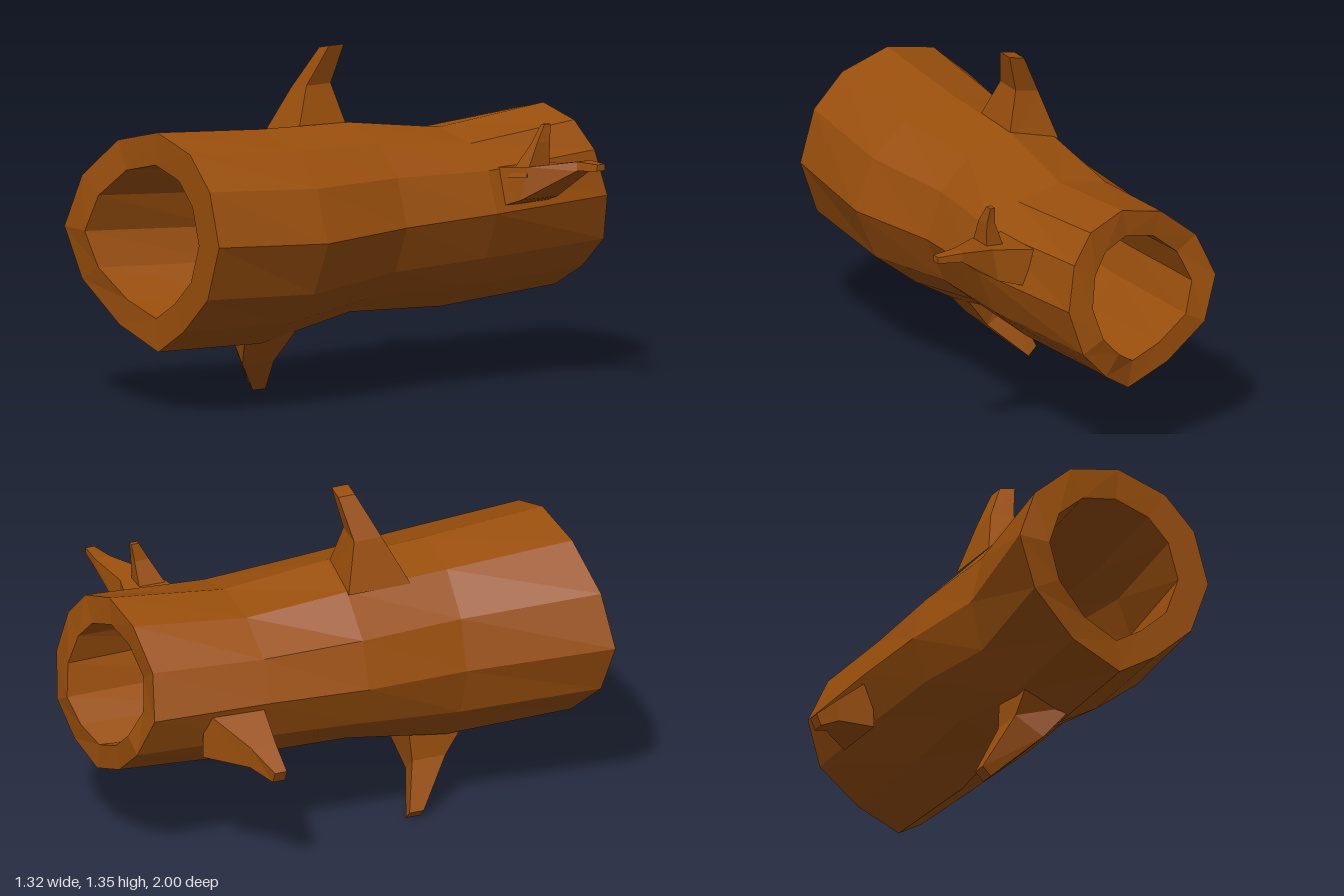
import * as THREE from 'three';

const bark = new THREE.MeshStandardMaterial({ color: 0x9a4f0c, flatShading: true });

// Skin a list of point loops with flat quads; optionally close end to start, or cap the last loop.
function skin(name, loops, { closed = false, cap = false } = {}) {
  const pos = [];
  const quad = (a, b, c, d) => pos.push(...a, ...b, ...c, ...a, ...c, ...d);
  const n = loops[0].length;
  const last = closed ? loops.length : loops.length - 1;
  for (let i = 0; i < last; i++) {
    const p = loops[i], q = loops[(i + 1) % loops.length];
    for (let j = 0; j < n; j++) {
      const k = (j + 1) % n;
      quad(p[j], p[k], q[k], q[j]);
    }
  }
  if (cap) quad(...loops[loops.length - 1]);
  const geo = new THREE.BufferGeometry();
  geo.setAttribute('position', new THREE.Float32BufferAttribute(pos, 3));
  geo.computeVertexNormals();
  const mesh = new THREE.Mesh(geo, bark);
  mesh.name = name;
  return mesh;
}

// Irregular twelve-sided cross-section, clockwise from the top
const section = [
  [0.1, 1], [0.57, 0.86], [0.86, 0.56], [1, 0.07], [0.83, -0.43], [0.47, -0.77],
  [0.11, -1], [-0.39, -0.81], [-0.82, -0.44], [-1, 0.02], [-0.82, 0.5], [-0.41, 0.87],
];

// Slanted cuts at the two ends: z for each corner of the section
const frontCut = [0.91, 0.905, 0.905, 0.905, 0.905, 0.905, 0.91, 0.935, 0.975, 1, 0.975, 0.935];
const backCut = [-0.89, -0.92, -0.95, -0.98, -1, -0.98, -0.94, -0.93, -0.93, -0.89, -0.865, -0.875];

// Trunk rings: left, right, bottom, top extents, sideways and upward bulge of the corners, z
const rings = [
  [-0.55, 0.32, 0.24, 1.09, 0, 0, frontCut],
  [-0.45, 0.365, 0.225, 1.055, -0.17, 0, Array(12).fill(0.42)],
  [-0.475, 0.3, 0.305, 1.04, -0.07, -0.05, Array(12).fill(0)],
  [-0.465, 0.325, 0.29, 0.985, -0.04, 0.1, Array(12).fill(-0.41)],
  [-0.45, 0.26, 0.325, 1.035, 0.08, 0, backCut],
];

function ringLoop([x0, x1, y0, y1, du, dv, z], scale) {
  return section.map(([u, v], i) => [
    (x0 + x1) / 2 + (u + du * (1 - u * u)) * scale * (x1 - x0) / 2,
    (y0 + y1) / 2 + (v + dv * (1 - v * v)) * scale * (y1 - y0) / 2,
    z[i],
  ]);
}

// Four-sided branches: corner loops from the base to the tip
const branches = {
  topBranch: [
    [[-0.285, 0.98, 0.26], [-0.06, 0.98, 0.26], [-0.06, 0.98, 0], [-0.285, 0.98, 0]],
    [[-0.225, 1.17, 0.165], [-0.125, 1.19, 0.165], [-0.125, 1.19, 0.05], [-0.225, 1.17, 0.05]],
    [[-0.145, 1.33, 0.09], [-0.08, 1.345, 0.09], [-0.08, 1.345, 0.02], [-0.145, 1.33, 0.02]],
  ],
  bottomBranch: [
    [[-0.05, 0.26, 0.51], [-0.245, 0.34, 0.51], [-0.245, 0.34, 0.27], [-0.05, 0.26, 0.27]],
    [[-0.15, 0.135, 0.45], [-0.255, 0.215, 0.42], [-0.255, 0.215, 0.28], [-0.15, 0.135, 0.3]],
    [[-0.295, 0, 0.295], [-0.33, 0.035, 0.295], [-0.33, 0.035, 0.235], [-0.295, 0, 0.235]],
  ],
  rightBranch: [
    [[-0.42, 0.68, -0.43], [-0.42, 0.68, -0.67], [-0.41, 0.48, -0.67], [-0.41, 0.48, -0.43]],
    [[-0.567, 0.56, -0.435], [-0.567, 0.56, -0.54], [-0.56, 0.475, -0.54], [-0.56, 0.475, -0.435]],
    [[-0.66, 0.48, -0.43], [-0.66, 0.48, -0.48], [-0.64, 0.435, -0.48], [-0.64, 0.435, -0.43]],
  ],
  leftBranch: [
    [[0.2, 0.86, -0.7], [0.22, 0.86, -0.46], [0.27, 0.71, -0.45], [0.25, 0.71, -0.69]],
    [[0.4, 0.88, -0.65], [0.4, 0.88, -0.5], [0.38, 0.75, -0.48], [0.38, 0.75, -0.655]],
    [[0.555, 0.91, -0.685], [0.555, 0.91, -0.62], [0.56, 0.875, -0.615], [0.56, 0.875, -0.685]],
    [[0.66, 0.91, -0.675], [0.66, 0.91, -0.64], [0.66, 0.885, -0.635], [0.66, 0.885, -0.675]],
  ],
  leftTwig: [
    [[0.31, 0.83, -0.47], [0.4, 0.84, -0.49], [0.4, 0.85, -0.6], [0.31, 0.83, -0.6]],
    [[0.363, 0.965, -0.545], [0.4, 0.97, -0.545], [0.4, 0.97, -0.605], [0.363, 0.965, -0.605]],
    [[0.37, 1.035, -0.585], [0.39, 1.035, -0.585], [0.39, 1.035, -0.615], [0.37, 1.035, -0.615]],
  ],
};

export function createModel() {
  const log = new THREE.Group();
  log.name = 'hollowLog';

  // Trunk: outside front to back, then the bore back to front, rims closing both ends
  const outer = rings.map((r) => ringLoop(r, 1));
  const inner = rings.map((r) => ringLoop(r, 0.7)).reverse();
  log.add(skin('trunk', [...outer, ...inner], { closed: true }));

  // Branch stubs
  for (const [name, loops] of Object.entries(branches)) {
    log.add(skin(name, loops, { cap: true }));
  }
  return log;
}
